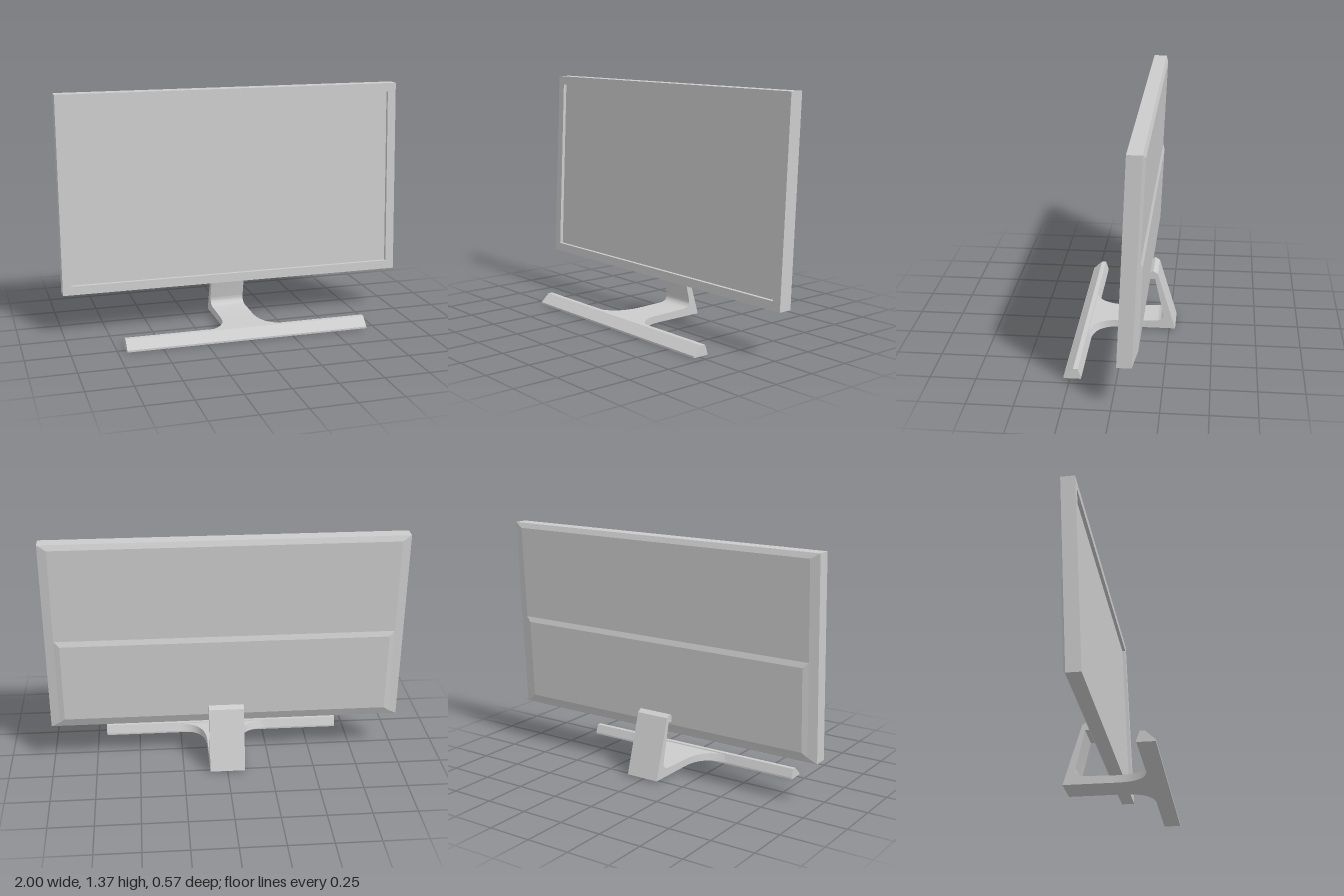
import * as THREE from 'three';
import { toCreasedNormals } from 'three/addons/utils/BufferGeometryUtils.js';

const material = new THREE.MeshStandardMaterial({ color: 0xcccccc });

// Move every vertex of a geometry by a rule
function warp(geo, rule) {
  const p = geo.attributes.position;
  const v = new THREE.Vector3();
  for (let i = 0; i < p.count; i++) {
    rule(v.fromBufferAttribute(p, i));
    p.setXYZ(i, v.x, v.y, v.z);
  }
  return geo;
}

// The screen leans back while its top and bottom stay level
const lean = (v) => { v.z += -0.03 - 0.0446 * (v.y - 0.25); };

function addMesh(parent, name, geo, crease = 0.5) {
  const flat = geo.index ? geo.toNonIndexed() : geo;
  const mesh = new THREE.Mesh(toCreasedNormals(flat, crease), material);
  mesh.name = name;
  parent.add(mesh);
}

// Rectangle [halfWidth, bottom, top] at zFront joined to another at zBack
function frustum(front, zFront, back, zBack) {
  return warp(new THREE.BoxGeometry(2, 2, 2), (v) => {
    const [w, y0, y1] = v.z > 0 ? front : back;
    v.set(v.x * w, v.y > 0 ? y1 : y0, v.z > 0 ? zFront : zBack);
  });
}

// Extrude a [z, y] profile across x, centred
function crossExtrude(shape, width) {
  return new THREE.ExtrudeGeometry(shape, { depth: width, bevelEnabled: false, curveSegments: 12 })
    .translate(0, 0, -width / 2)
    .rotateY(-Math.PI / 2);
}

const rect = (w, y0, y1) =>
  [[-w, y0], [w, y0], [w, y1], [-w, y1]].map(([x, y]) => new THREE.Vector2(x, y));

export function createModel() {
  const model = new THREE.Group();
  model.name = 'monitor';

  // Screen housing
  const screen = new THREE.Group();
  screen.name = 'screen';
  model.add(screen);

  const frame = new THREE.Shape(rect(1, 0.25, 1.37));
  frame.holes.push(new THREE.Path(rect(0.95, 0.30, 1.32)));
  const bezel = new THREE.ExtrudeGeometry(frame, { depth: 0.078, bevelEnabled: false })
    .translate(0, 0, -0.078);
  addMesh(screen, 'bezel', warp(bezel, lean), 0.1);

  const inner = [0.95, 0.30, 1.32];
  addMesh(screen, 'displayPanel', warp(frustum(inner, -0.02, inner, -0.078), lean), 0.1);

  // Bevelled back with a raised lower half
  const outer = [1, 0.25, 1.37];
  const upper = [0.95, 0.28, 1.34];
  addMesh(screen, 'backCover', warp(frustum(outer, -0.078, upper, -0.091), lean), 0.1);
  const humpBase = [0.95, 0.28, 0.80];
  const humpTop = [0.92, 0.305, 0.77];
  addMesh(screen, 'lowerBackCover', warp(frustum(humpBase, -0.091, humpTop, -0.102), lean), 0.1);

  // Stand
  const stand = new THREE.Group();
  stand.name = 'stand';
  model.add(stand);

  // Front foot bar
  const bar = new THREE.Shape([
    [0.19, 0], [0.285, 0], [0.285, 0.01], [0.233, 0.058], [0.207, 0.058], [0.19, 0.01],
  ].map(([z, y]) => new THREE.Vector2(z, y)));
  addMesh(stand, 'footBar', crossExtrude(bar, 1.4), 0.1);

  // Arm: level foot, rounded inner corner, leaning post and hooked top
  const arm = new THREE.Shape();
  arm.moveTo(0, 0.01);
  arm.lineTo(0, 0.052);
  arm.lineTo(-0.17, 0.056);
  arm.bezierCurveTo(-0.2, 0.058, -0.22, 0.075, -0.214, 0.105);
  arm.lineTo(-0.165, 0.325);
  arm.lineTo(-0.125, 0.322);
  arm.lineTo(-0.125, 0.356);
  arm.lineTo(-0.155, 0.372);
  arm.lineTo(-0.181, 0.355);
  arm.lineTo(-0.285, 0.01);
  addMesh(stand, 'arm', crossExtrude(arm, 0.2));

  // Flare from the arm into the foot bar, its walls sloping like the bar's back
  const flare = new THREE.Shape();
  flare.moveTo(-0.1, 0);
  flare.bezierCurveTo(-0.1, -0.14, -0.16, -0.19, -0.3, -0.191);
  flare.lineTo(-0.3, -0.205);
  flare.lineTo(0.3, -0.205);
  flare.lineTo(0.3, -0.191);
  flare.bezierCurveTo(0.16, -0.19, 0.1, -0.14, 0.1, 0);
  const flareGeo = new THREE.ExtrudeGeometry(flare, { depth: 0.042, bevelEnabled: false, curveSegments: 16 })
    .rotateX(-Math.PI / 2)
    .translate(0, 0.01, 0);
  warp(flareGeo, (v) => { if (v.y > 0.03) v.z += 0.018 * (v.z / 0.19) ** 2; });
  addMesh(stand, 'footFlare', flareGeo);

  return model;
}
